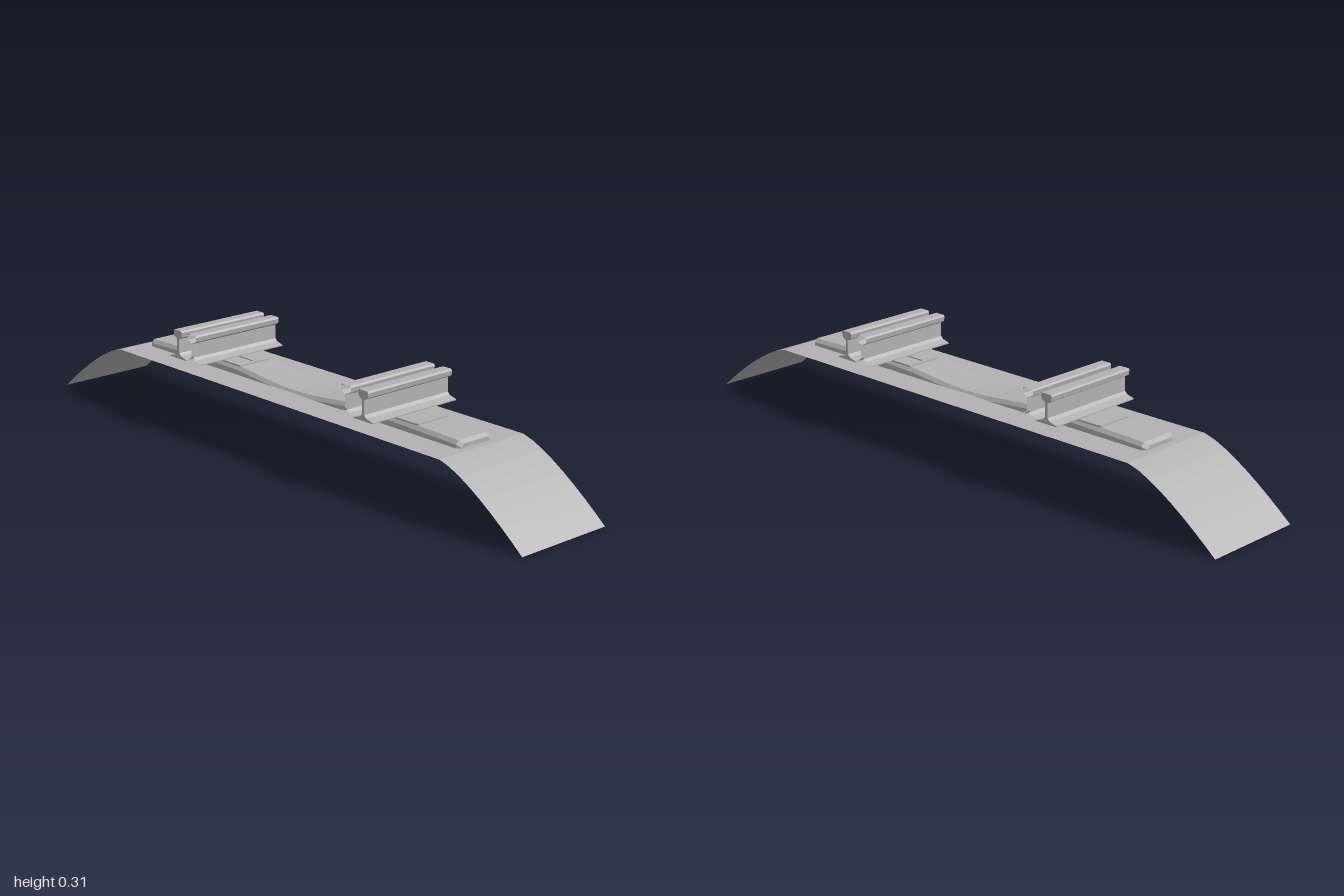
import * as THREE from 'three';

const HALF_Z = 0.1625;

// Flat-faced skin joining a row of equal-length cross-sections
function loft(sections, closed = false) {
  const pos = [];
  for (let i = 0; i < sections.length - 1; i++) {
    const a = sections[i], b = sections[i + 1], n = a.length;
    for (let j = 0; j < (closed ? n : n - 1); j++) {
      const k = (j + 1) % n;
      for (const p of [a[j], b[j], b[k], a[j], b[k], a[k]]) pos.push(...p);
    }
  }
  const g = new THREE.BufferGeometry();
  g.setAttribute('position', new THREE.Float32BufferAttribute(pos, 3));
  g.computeVertexNormals();
  return g;
}

// Height of the sleeper's top: raised rail seats, dipped middle, lower ends
function sleeperTop(x) {
  const a = Math.abs(x);
  if (a < 0.3) return 0.202 - 0.01 * Math.cos((Math.PI * a) / 0.3);
  return a < 0.42 ? 0.212 : 0.212 - ((a - 0.42) / 0.26) * 0.006;
}

export function createModel() {
  const model = new THREE.Group();
  const grey = new THREE.MeshStandardMaterial({ color: 0xb2b2b2, side: THREE.DoubleSide });
  grey.name = 'plain grey';
  const add = (name, geometry, x = 0, y = 0, z = 0) => {
    const mesh = new THREE.Mesh(geometry, grey);
    mesh.name = name;
    mesh.position.set(x, y, z);
    model.add(mesh);
  };

  // Ballast bed: a thin sheet, flat in the middle and curving down at both ends
  const bed = [];
  for (let i = 0; i <= 8; i++) {
    const t = i / 8;
    bed.push([0.7 + 0.3 * t, 0.185 * (1 - Math.pow(t, 1.35))]);
  }
  const bedLine = [...bed.map(([x, y]) => [-x, y]).reverse(), ...bed];
  add('ballastBed', loft(bedLine.map(([x, y]) => [[x, y, HALF_Z], [x, y, -HALF_Z]]).map((s) => s.reverse())
    .map(([back, front]) => [front, back])));

  // Sleeper: bevelled shell, open underneath
  const section = (x, w, drop) => {
    const top = sleeperTop(x) - drop;
    return [[x, 0.15, w], [x, top - 0.011, w], [x, top, w - 0.009],
      [x, top, 0.009 - w], [x, top - 0.011, -w], [x, 0.15, -w]];
  };
  const shell = [section(-0.677, 0.055, 0.008), section(-0.665, 0.065, 0)];
  for (let i = -14; i <= 14; i++) shell.push(section(i * 0.045, 0.065, 0));
  shell.push(section(0.665, 0.065, 0), section(0.677, 0.055, 0.008));
  add('sleeper', loft(shell));

  // Closed sleeper ends
  for (const s of [-1, 1]) {
    const edge = section(s * 0.677, 0.055, 0.008);
    const half = [edge.slice(0, 3), edge.slice(3).reverse()];
    add('sleeperEnd', loft(s > 0 ? half : half.reverse()));
  }

  // Rail profile, mirrored from one half
  const half = [[0.038, 0.22], [0.038, 0.223], [0.013, 0.23], [0.005, 0.238], [0.004, 0.281],
    [0.018, 0.289], [0.02, 0.303], [0.016, 0.308]];
  const profile = [...half, ...half.map(([x, y]) => [-x, y]).reverse()];
  const railGeometry = new THREE.ExtrudeGeometry(
    new THREE.Shape(profile.map(([x, y]) => new THREE.Vector2(x, y))),
    { depth: 2 * HALF_Z, bevelEnabled: false });
  // The guard rail is the same skin without end faces
  const guardGeometry = loft([HALF_Z, -HALF_Z].map((z) => profile.map(([x, y]) => [x, y, z])), true);

  for (const s of [-1, 1]) {
    add('runningRail', railGeometry, s * 0.406, 0, -HALF_Z);
    add('guardRail', guardGeometry, s * 0.338);
    // Seat plate under both rails, with its outer lip and inner clip
    add('seatPlate', new THREE.BoxGeometry(0.27, 0.005, 0.116), s * 0.375, 0.2115, 0);
    add('plateLip', new THREE.BoxGeometry(0.012, 0.004, 0.116), s * 0.51, 0.2135, 0);
    add('plateClip', new THREE.BoxGeometry(0.07, 0.004, 0.004), s * 0.285, 0.2155, 0);
  }
  return model;
}
